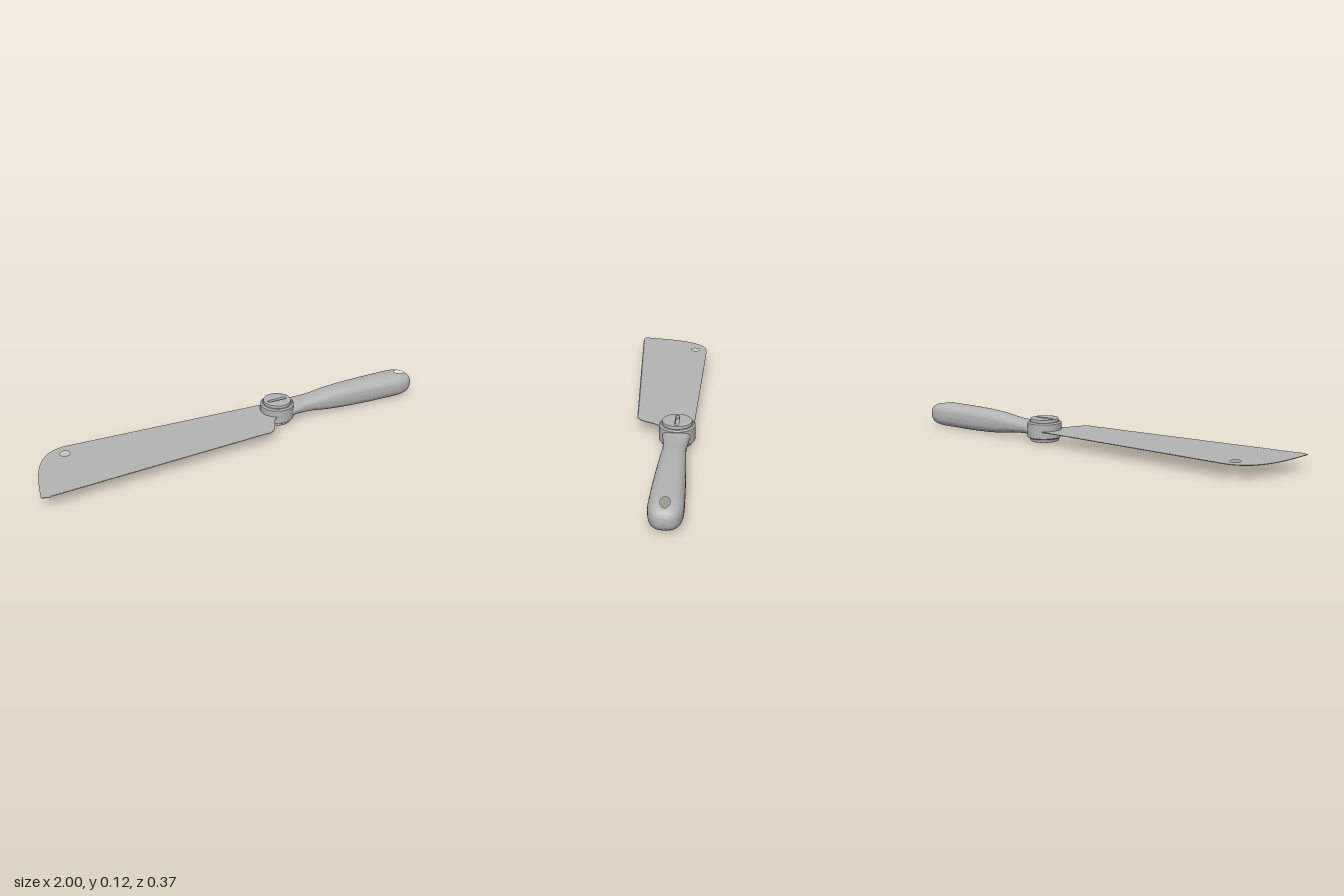
import * as THREE from 'three';
import { toCreasedNormals, mergeVertices } from 'three/addons/utils/BufferGeometryUtils.js';

const MID = 0.06;      // height of the middle plane
const AXIS_Z = -0.09;  // centre line of handle and pivot
const N = 2.7;         // squareness of the handle section
const pw = (v) => Math.sign(v) * Math.pow(Math.abs(v), 2 / N);

// Joins rows of points into a smooth surface; flip reverses the facing.
function sheet(rows, flip, out) {
  for (let i = 0; i < rows.length - 1; i++) {
    for (let j = 0; j < rows[i].length - 1; j++) {
      const a = rows[i][j], b = rows[i + 1][j], c = rows[i + 1][j + 1], d = rows[i][j + 1];
      for (const p of flip ? [a, c, b, a, d, c] : [a, b, c, a, c, d]) out.push(...p);
    }
  }
}

function handleGeometry() {
  const out = [];
  const X0 = 0.88, L = 0.12, W = 0.07, H = 0.06, M = 28;
  const phi = Array.from({ length: M + 1 }, (_, j) => -Math.PI / 2 + (Math.PI * j) / M);
  // Stations along the grip: x, half width, half height
  const spine = new THREE.CatmullRomCurve3([
    [0.25, 0.066, 0.03], [0.3, 0.06, 0.03], [0.4, 0.051, 0.036], [0.5, 0.055, 0.05],
    [0.6, 0.06, 0.057], [0.74, 0.066, 0.06], [X0, W, H],
  ].map((p) => new THREE.Vector3(...p)));
  const stations = spine.getPoints(36);

  // Rounded end: boundary runs along the seam, then around the butt
  const edge = phi.map((t) => [0, pw(Math.sin(t))]);
  for (let j = 1; j <= 40; j++) {
    const t = Math.PI / 2 - (Math.PI * j) / 40;
    edge.push([pw(Math.max(0, Math.cos(t))), pw(Math.sin(t))]);
  }
  const hx = 0.94;
  const inner = edge.map(([u, v]) => {
    const a = Math.atan2(v * W, X0 + u * L - hx);
    return [hx + 0.03 * Math.cos(a), 0.019 * Math.sin(a)];
  });
  const height = (x, z) => {
    const u = (x - X0) / L;
    const r = 1 - Math.abs(z / W) ** N - Math.max(0, u) ** N;
    return r < 1e-7 ? 0 : H * r ** (1 / N);
  };

  for (const side of [1, -1]) {
    // Grip
    const grip = stations.map((s) => phi.map((t) => [
      s.x, MID + side * s.z * pw(Math.max(0, Math.cos(t))), AXIS_Z + s.y * pw(Math.sin(t)),
    ]));
    sheet(grip, side > 0, out);
    // Butt surface from hanging hole to outline
    const butt = [];
    for (let i = 0; i <= 16; i++) {
      const s = Math.sin((Math.PI / 2) * (i / 16));
      butt.push(edge.map(([u, v], j) => {
        const x = i === 16 ? X0 + u * L : inner[j][0] + (X0 + u * L - inner[j][0]) * s;
        const z = i === 16 ? v * W : inner[j][1] + (v * W - inner[j][1]) * s;
        return [x, MID + side * height(x, z), AXIS_Z + z];
      }));
    }
    sheet(butt, side < 0, out);
  }
  // Wall of the hanging hole
  const wall = [1, -1].map((side) => inner.map(([x, z]) => [x, MID + side * height(x, z), AXIS_Z + z]));
  sheet(wall, false, out);

  const g = new THREE.BufferGeometry();
  g.setAttribute('position', new THREE.Float32BufferAttribute(out, 3));
  return toCreasedNormals(mergeVertices(g, 1e-5), 0.9);
}

function bladeGeometry() {
  const s = new THREE.Shape();
  s.moveTo(0.25, -0.16);
  s.lineTo(0.18, -0.163);
  s.lineTo(-0.79, -0.19);
  s.bezierCurveTo(-0.94, -0.195, -0.975, -0.03, -1, 0.17);
  s.lineTo(-0.97, 0.18);
  // Fine saw teeth
  const teeth = 100;
  for (let i = 0; i <= teeth; i++) {
    const x = -0.96 + (1.04 * i) / teeth;
    const z = 0.179 - (0.074 * i) / teeth;
    s.lineTo(x, z);
    if (i < teeth) s.lineTo(x + 0.005, z - 0.007);
  }
  s.bezierCurveTo(0.15, 0.1, 0.14, 0.03, 0.19, -0.015);
  s.lineTo(0.25, -0.05);
  const hole = new THREE.Path();
  hole.absellipse(-0.82, -0.127, 0.022, 0.024, 0, Math.PI * 2, true);
  s.holes.push(hole);
  const g = new THREE.ExtrudeGeometry(s, { depth: 0.003, bevelEnabled: false, curveSegments: 20 });
  g.rotateX(Math.PI / 2);
  return g.translate(0, MID + 0.0015, 0);
}

// Round screw head with a slot across it
function screwGeometry() {
  const s = new THREE.Shape();
  s.absarc(0, 0, 0.065, 0, Math.PI * 2);
  const slot = new THREE.Path();
  slot.absarc(0.042, 0, 0.011, -Math.PI / 2, Math.PI / 2);
  slot.absarc(-0.042, 0, 0.011, Math.PI / 2, Math.PI * 1.5);
  slot.closePath();
  s.holes.push(slot);
  const g = new THREE.ExtrudeGeometry(s, {
    depth: 0.013, bevelThickness: 0.003, bevelSize: 0.003, bevelSegments: 2, curveSegments: 24,
  });
  return toCreasedNormals(g.rotateX(-Math.PI / 2), 0.5);
}

export function createModel() {
  const group = new THREE.Group();
  group.name = 'foldingSaw';
  const steel = new THREE.MeshStandardMaterial({ color: 0xb4b4b4 });
  steel.name = 'grey';
  const add = (name, geometry) => {
    const m = new THREE.Mesh(geometry, steel);
    m.name = name;
    group.add(m);
    return m;
  };

  add('blade', bladeGeometry());
  add('handle', handleGeometry());

  // Pivot barrel with bevelled rims
  const profile = [[0, 0.02], [0.074, 0.02], [0.082, 0.026], [0.082, 0.094], [0.074, 0.1], [0, 0.1]];
  const barrel = new THREE.LatheGeometry(profile.map((p) => new THREE.Vector2(...p)), 48);
  add('pivotBarrel', toCreasedNormals(barrel, 0.5)).position.set(0.23, 0, AXIS_Z);

  // Slotted screw heads above and below
  for (const side of [1, -1]) {
    const m = add(side > 0 ? 'topScrew' : 'bottomScrew', screwGeometry());
    m.position.set(0.23, MID + side * 0.039, AXIS_Z);
    if (side < 0) m.rotation.x = Math.PI;
  }
  return group;
}
